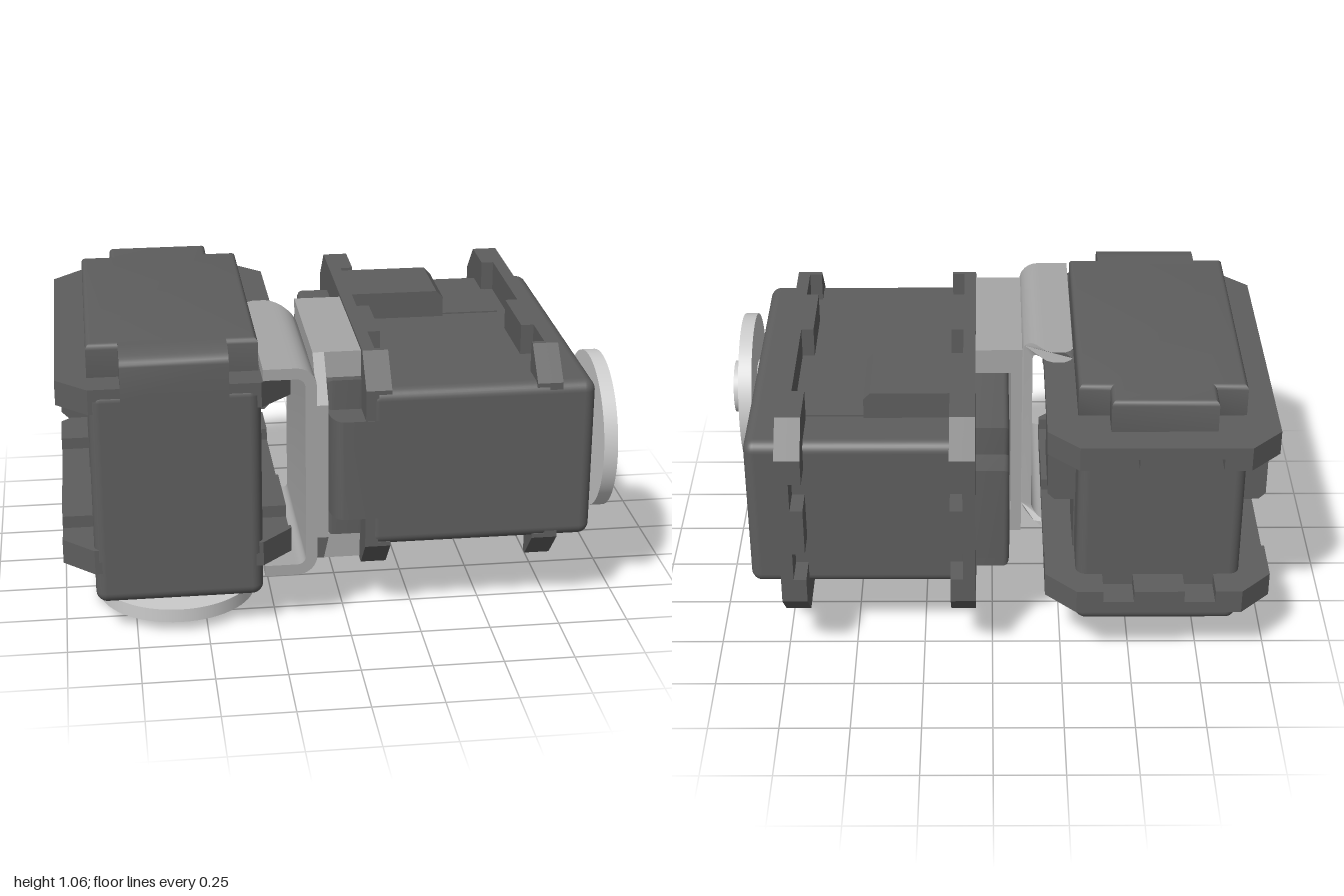
import * as THREE from 'three';
import { toCreasedNormals } from 'three/addons/utils/BufferGeometryUtils.js';
import { RoundedBoxGeometry } from 'three/addons/geometries/RoundedBoxGeometry.js';

const dark = new THREE.MeshStandardMaterial({ color: 0x5e5e5e });
const metal = new THREE.MeshStandardMaterial({ color: 0xa6a6a6 });
const light = new THREE.MeshStandardMaterial({ color: 0xcccccc });

function add(parent, name, geometry, material) {
  const mesh = new THREE.Mesh(geometry, material);
  mesh.name = name;
  parent.add(mesh);
  return mesh;
}

function box(x0, x1, y0, y1, z0, z1) {
  return new THREE.BoxGeometry(x1 - x0, y1 - y0, z1 - z0)
    .translate((x0 + x1) / 2, (y0 + y1) / 2, (z0 + z1) / 2);
}

function shapeOf(points) {
  return new THREE.Shape(points.map(([a, b]) => new THREE.Vector2(a, b)));
}

// Plate drawn as [z, y] points, running from x0 to x1; a bevel rounds its rims
function plate(points, x0, x1, bevel = 0) {
  const geo = new THREE.ExtrudeGeometry(shapeOf(points.map(([z, y]) => [-z, y])), {
    depth: x1 - x0 - 2 * bevel, bevelEnabled: bevel > 0, bevelSize: bevel,
    bevelThickness: bevel, bevelOffset: -bevel, bevelSegments: 4,
  });
  geo.rotateY(Math.PI / 2).translate(x0 + bevel, 0, 0);
  return toCreasedNormals(geo, 0.6);
}

// Octagonal mounting flange: thin plate plus thicker tabs on its inner face
function addFlange(motor, p0, p1, t0, t1) {
  const flange = new THREE.Group();
  flange.name = 'mountingFlange';
  motor.add(flange);
  const f = 0.657;
  add(flange, 'flangePlate', plate([
    [f, -0.295], [f, 0.295], [0.55, 0.405], [-0.55, 0.405],
    [-0.66, 0.295], [-0.66, -0.295], [-0.55, -0.405], [0.55, -0.405],
  ], p0, p1), dark);
  for (const s of [1, -1]) {
    add(flange, 'sideTab', box(t0, t1, s > 0 ? 0.28 : -0.405, s > 0 ? 0.405 : -0.28, 0.08, 0.36), dark);
    add(flange, 'frontCornerTab', plate(
      [[0.53, 0.28], [f, 0.28], [f, 0.295], [0.55, 0.405], [0.53, 0.405]].map(([z, y]) => [z, s * y]), t0, t1), dark);
    add(flange, 'backCornerTab', plate(
      [[-0.37, 0.28], [-0.37, 0.405], [-0.55, 0.405], [-0.66, 0.295],
        [-0.66, 0.2], [-0.53, 0.2], [-0.53, 0.28]].map(([z, y]) => [z, s * y]), t0, t1), dark);
  }
  add(flange, 'backTab', box(t0, t1, -0.09, 0.09, -0.66, -0.53), dark);
}

// One servo motor with its output shaft along +x
function createMotor(name) {
  const motor = new THREE.Group();
  motor.name = name;

  add(motor, 'motorBody', new RoundedBoxGeometry(0.8, 0.59, 1.21, 4, 0.04)
    .translate(0.47, 0, 0.055), dark);

  // Rear cover with cut corners and a rounded front lip
  add(motor, 'rearCover', plate([
    [0.54, 0.295], [-0.44, 0.295], [-0.44, 0.185], [-0.55, 0.185],
    [-0.55, -0.185], [-0.44, -0.185], [-0.44, -0.295], [0.54, -0.295],
  ], -0.06, 0.12, 0.02), dark);
  const lip = shapeOf([[0.11, 0.5], [-0.06, 0.5], [-0.06, 0.56]]);
  for (let i = 1; i <= 8; i++) {
    const a = i / 8 * Math.PI / 2;
    lip.lineTo(-0.015 - 0.045 * Math.cos(a), 0.56 + 0.1 * Math.sin(a));
  }
  lip.lineTo(0.11, 0.66);
  const lipGeo = new THREE.ExtrudeGeometry(lip, { depth: 0.37, bevelEnabled: false });
  lipGeo.rotateX(Math.PI / 2).translate(0, 0.185, 0);
  add(motor, 'coverLip', toCreasedNormals(lipGeo, 0.6), dark);

  addFlange(motor, 0.06, 0.105, 0.1, 0.15);
  addFlange(motor, 0.705, 0.75, 0.66, 0.71);

  // Connector housings on both sides
  for (const s of [1, -1]) {
    const housing = shapeOf([[0.1, 0.28], [0.455, 0.28], [0.455, 0.37], [0.43, 0.395], [0.1, 0.395]]
      .map(([x, y]) => [x, s * y]));
    add(motor, 'connectorHousing', new THREE.ExtrudeGeometry(housing, { depth: 0.29, bevelEnabled: false })
      .translate(0, 0, -0.37), dark);
    add(motor, 'connectorPad', box(0.45, 0.67, s > 0 ? 0.28 : -0.3, s > 0 ? 0.3 : -0.28, -0.36, -0.1), dark);
  }

  // Output shaft and disc
  const turned = [
    ['shaftCollar', 0.86, 0.895, 0.12], ['shaftNeck', 0.89, 0.92, 0.105],
    ['outputDisc', 0.91, 0.96, 0.285], ['discHub', 0.95, 1.0, 0.1],
  ];
  for (const [part, x0, x1, r] of turned) {
    add(motor, part, new THREE.CylinderGeometry(r, r, x1 - x0, 64)
      .rotateZ(Math.PI / 2).translate((x0 + x1) / 2, 0, 0.365), light);
  }
  return motor;
}

// Bent U bracket, with the back edge of its web cut away
function createBentBracket() {
  const arc = (r, from, to) => Array.from({ length: 7 }, (_, i) => {
    const a = from + (to - from) * i / 6;
    return [-0.18 + r * Math.cos(a), a];
  });
  const half = (r) => arc(r, Math.PI / 2, 0).map(([x, a]) => [x, 0.32 + r * Math.sin(a)]);
  const ends = [-0.295, -0.285, -0.265, -0.22, -0.2];
  const outer = [...ends.map((x) => [x, 0.39]), ...half(0.07)];
  const inner = [...ends.map((x) => [x, 0.35]), ...half(0.03)];
  const flip = (points) => points.map(([x, y]) => [x, -y]).reverse();
  const profile = [...outer, ...flip(outer), ...inner.map(([x, y]) => [x, -y]), ...flip(inner).map(([x, y]) => [x, -y])];
  const geo = new THREE.ExtrudeGeometry(shapeOf(profile), { depth: 0.725, bevelEnabled: false });
  const pos = geo.attributes.position;
  for (let i = 0; i < pos.count; i++) {
    const x = pos.getX(i);
    let z = 0.655;
    if (pos.getZ(i) < 0.1) {
      z = -0.07 + 0.12 * THREE.MathUtils.smoothstep(x, -0.22, -0.11);
      if (x < -0.265) z += 0.03 * ((-0.265 - x) / 0.03) ** 2;
    }
    pos.setZ(i, z);
  }
  return toCreasedNormals(geo, 0.6);
}

export function createModel() {
  const model = new THREE.Group();
  model.name = 'twoMotorJoint';

  const leftMotor = createMotor('horizontalMotor');
  leftMotor.position.y = 0.595;
  const rightMotor = createMotor('uprightMotor');
  rightMotor.rotation.z = -Math.PI / 2;
  rightMotor.position.set(-0.595, 1, 0);
  model.add(leftMotor, rightMotor);

  // Brackets joining the motors back to back
  const brackets = new THREE.Group();
  brackets.name = 'brackets';
  brackets.position.y = 0.595;
  model.add(brackets);
  add(brackets, 'bentBracket', createBentBracket(), metal);
  add(brackets, 'flatBracketWeb', plate([
    [-0.06, -0.395], [-0.06, 0.395], [0.52, 0.395], [0.655, 0.25],
    [0.655, -0.25], [0.52, -0.395],
  ], -0.11, -0.07), metal);
  add(brackets, 'upperBracketArm', box(-0.08, 0.06, 0.3, 0.395, -0.06, 0.52), metal);
  add(brackets, 'lowerBracketArm', box(-0.08, 0.06, -0.395, -0.3, -0.06, 0.52), metal);
  return model;
}
